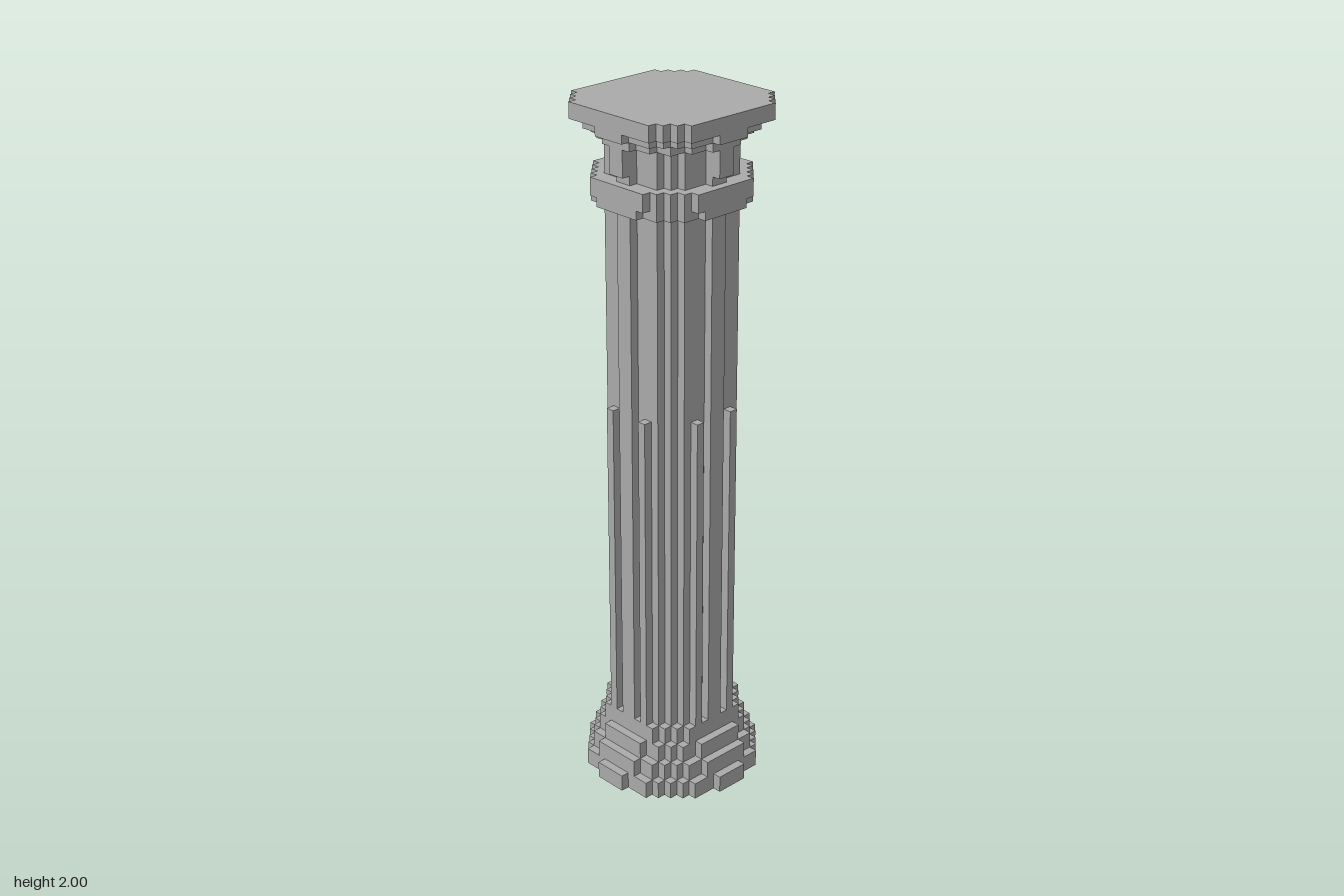
import * as THREE from 'three';

const U = 0.025; // width of one stone block step

// Four-way symmetric stepped outline; rows[k] is the half width at depth step k
function steppedShape(rows) {
  const q = [];
  rows.forEach((w, k) => {
    if (k > 0 && w !== rows[k - 1]) q.push([rows[k - 1], k], [w, k]);
  });
  q.push([rows[rows.length - 1], rows.length]);
  const r = [...q].reverse();
  const quadrant = (list, sx, sy) => list.map(([x, y]) => new THREE.Vector2(x * sx * U, y * sy * U));
  return new THREE.Shape([
    ...quadrant([[rows[0], 0], ...q], 1, 1),
    ...quadrant(r, -1, 1),
    ...quadrant(q, -1, -1),
    ...quadrant(r, 1, -1),
  ]);
}

export function createModel() {
  const column = new THREE.Group();
  column.name = 'flutedColumn';
  const stone = new THREE.MeshStandardMaterial({ color: 0xaaaaaa });
  stone.name = 'greyStone';

  function slab(name, y0, y1, rows) {
    const geo = new THREE.ExtrudeGeometry(steppedShape(rows), { depth: y1 - y0, bevelEnabled: false });
    geo.rotateX(-Math.PI / 2);
    const mesh = new THREE.Mesh(geo, stone);
    mesh.name = name;
    mesh.position.y = y0;
    column.add(mesh);
  }

  // The same upright rib on all four faces: x0..x1 across, z0..z1 outwards
  function ribs(name, x0, x1, z0, z1, y0, y1) {
    const geo = new THREE.BoxGeometry((x1 - x0) * U, y1 - y0, (z1 - z0) * U);
    geo.translate(((x0 + x1) / 2) * U, (y0 + y1) / 2, ((z0 + z1) / 2) * U);
    for (let i = 0; i < 4; i++) {
      const mesh = new THREE.Mesh(geo, stone);
      mesh.name = name;
      mesh.rotation.y = (i * Math.PI) / 2;
      column.add(mesh);
    }
  }

  // Stepped base
  slab('basePlinth', 0, 0.05, [10, 10, 9, 9, 9, 8, 7, 6, 5, 2]);
  slab('baseLowerStep', 0.05, 0.1, [9, 9, 9, 8, 8, 7, 6, 5, 3]);
  slab('baseMiddleStep', 0.1, 0.15, [8, 8, 8, 7, 7, 6, 5, 3]);
  slab('baseUpperStep', 0.15, 0.2, [7, 7, 7, 7, 6, 5, 4]);

  // Shaft, with full-height centre ribs and half-height side ribs
  slab('shaft', 0.2, 1.905, [6, 6, 6, 6, 5, 4]);
  ribs('centreRib', -1, 1, 6, 7, 0.2, 1.905);
  ribs('leftRib', 2, 3, 6, 7, 0.2, 1.15);
  ribs('rightRib', -3, -2, 6, 7, 0.2, 1.15);

  // Collar below the neck
  slab('collarLower', 1.73, 1.755, [8, 8, 8, 7, 7, 6, 5, 3]);
  slab('collarUpper', 1.755, 1.805, [8, 8, 8, 8, 7, 6, 5, 4]);

  // Capital with a bracket on each face
  ribs('bracket', -1, 1, 7, 8, 1.83, 1.905);
  slab('capitalLowerStep', 1.905, 1.93, [8, 8, 7, 7, 6, 6, 4, 2]);
  slab('capitalUpperStep', 1.93, 1.955, [9, 9, 8, 8, 8, 7, 6, 5, 2]);
  slab('capitalTop', 1.955, 2, [9, 9, 9, 9, 9, 9, 8, 7, 6]);

  return column;
}
